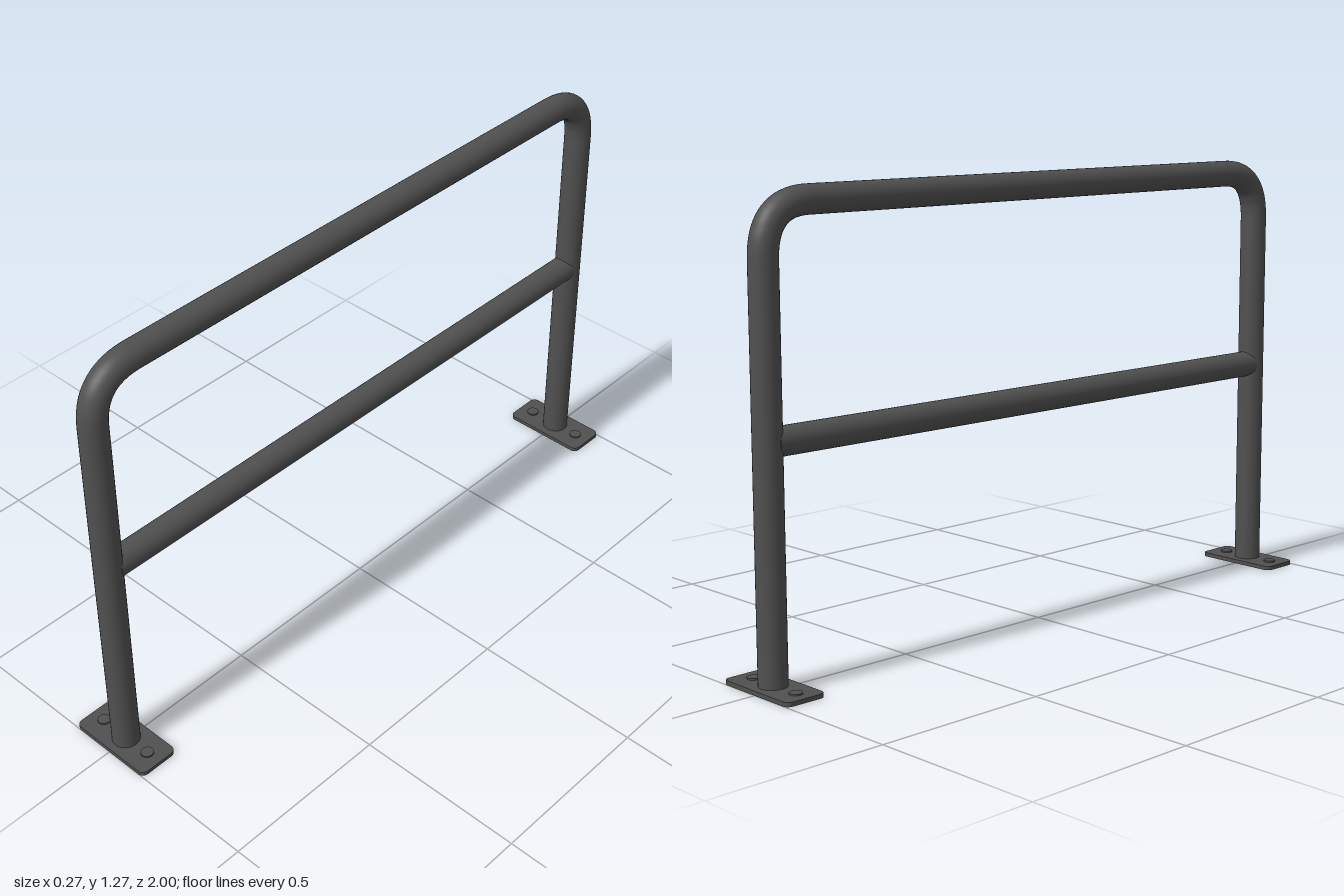
import * as THREE from 'three';

const R = 0.039; // tube radius
const X = 0.002; // tube centre line
const POST_Z = 0.94;
const TOP_Y = 1.236;
const BEND = 0.14;

export function createModel() {
  const model = new THREE.Group();
  model.name = 'railing';
  const steel = new THREE.MeshStandardMaterial({ color: 0x505050 });
  steel.name = 'dark grey steel';

  const add = (name, geometry, x, y, z, parent = model) => {
    const mesh = new THREE.Mesh(geometry, steel);
    mesh.name = name;
    mesh.position.set(x, y, z);
    parent.add(mesh);
    return mesh;
  };

  // Bent hoop: post, corner, top rail, corner, post
  const points = [new THREE.Vector3(0, 0.005, POST_Z)];
  const corner = (s, flip) => {
    const curve = new THREE.QuadraticBezierCurve3(
      new THREE.Vector3(0, TOP_Y - BEND, s * POST_Z),
      new THREE.Vector3(0, TOP_Y, s * POST_Z),
      new THREE.Vector3(0, TOP_Y, s * (POST_Z - BEND)));
    const p = curve.getPoints(16);
    return flip ? p.reverse() : p;
  };
  points.push(...corner(1, false), ...corner(-1, true), new THREE.Vector3(0, 0.005, -POST_Z));
  const path = new THREE.CurvePath();
  for (let i = 1; i < points.length; i++) path.add(new THREE.LineCurve3(points[i - 1], points[i]));
  add('hoop', new THREE.TubeGeometry(path, 400, R, 32, false), X, 0, 0);

  // Middle rail between the posts
  const rail = new THREE.CylinderGeometry(R, R, 1.85, 32).rotateX(Math.PI / 2);
  add('middleRail', rail, X, 0.638, 0);

  // Rounded base plate outline
  const w = 0.135, d = 0.061, r = 0.018;
  const outline = new THREE.Shape();
  outline.moveTo(-w + r, -d);
  outline.absarc(w - r, -d + r, r, -Math.PI / 2, 0);
  outline.absarc(w - r, d - r, r, 0, Math.PI / 2);
  outline.absarc(-w + r, d - r, r, Math.PI / 2, Math.PI);
  outline.absarc(-w + r, -d + r, r, Math.PI, Math.PI * 1.5);
  const plate = new THREE.ExtrudeGeometry(outline, { depth: 0.012, bevelEnabled: false, curveSegments: 6 })
    .rotateX(-Math.PI / 2);
  const bolt = new THREE.CylinderGeometry(0.018, 0.018, 0.006, 20);

  // A plate with two bolts under each post
  for (const s of [1, -1]) {
    const foot = new THREE.Group();
    foot.name = s > 0 ? 'frontFoot' : 'backFoot';
    foot.position.z = s * 0.939;
    model.add(foot);
    add('basePlate', plate, 0, 0, 0, foot);
    for (const side of [1, -1]) add('bolt', bolt, side * 0.088 - 0.002, 0.0135, 0, foot);
  }
  return model;
}
